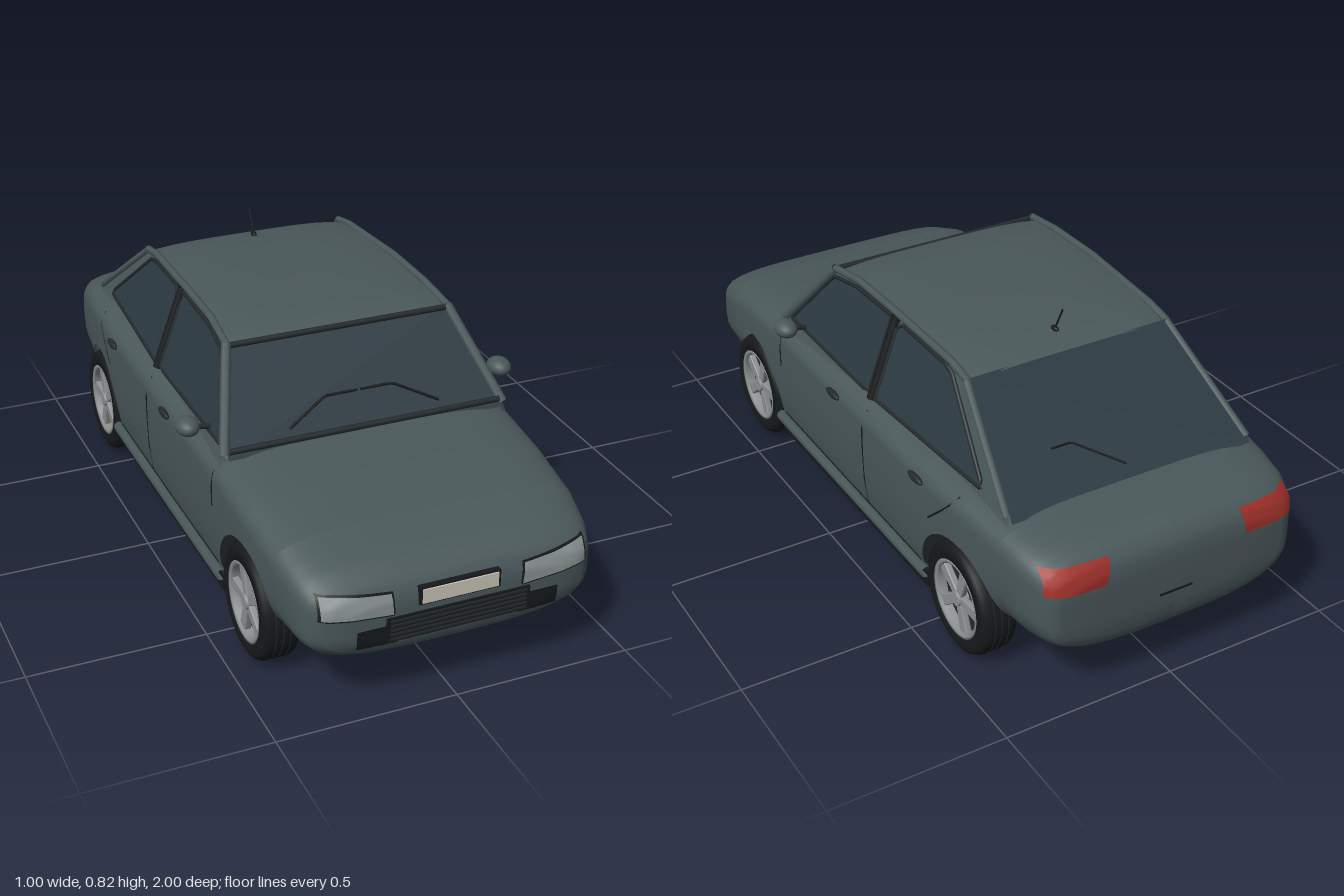
import * as THREE from 'three';

const mat = (color, roughness = 0.6) => new THREE.MeshStandardMaterial({ color, roughness, side: THREE.DoubleSide });
const V = (x, y, z) => new THREE.Vector3(x, y, z);

// Lower body stations: z, top height, bottom height, half width
const STATIONS = [
  [0.985, 0.325, 0.2, 0.3], [0.975, 0.355, 0.172, 0.36], [0.945, 0.385, 0.148, 0.395], [0.9, 0.41, 0.132, 0.413],
  [0.8, 0.442, 0.122, 0.428], [0.62, 0.471, -0.1, 0.439], [0.42, 0.492, -0.1, 0.443], [0, 0.503, -0.1, 0.446],
  [-0.45, 0.503, -0.1, 0.445], [-0.63, 0.5, -0.1, 0.437], [-0.81, 0.488, 0.122, 0.42], [-0.9, 0.474, 0.13, 0.408],
  [-0.96, 0.453, 0.145, 0.388], [-0.985, 0.43, 0.165, 0.367], [-0.997, 0.4, 0.2, 0.335],
];
const UP = 5, LOW = 3, ARCH = 0.18, WHEELS = [0.62, -0.63], HUB_Y = 0.16;

function station(z) {
  let i = 0;
  while (i < STATIONS.length - 2 && z < STATIONS[i + 1][0]) i++;
  const a = STATIONS[i], b = STATIONS[i + 1];
  const t = THREE.MathUtils.clamp((a[0] - z) / (a[0] - b[0]), 0, 1);
  const [top, bottom, w] = [1, 2, 3].map(k => a[k] + (b[k] - a[k]) * t);
  return { top, bottom, w, mid: top - Math.min(0.125, (top - bottom) / 2) };
}

// Side surface x at (z, y), and end surface z at (x, y)
function sideX(z, y) {
  const s = station(z), up = y > s.mid, n = up ? UP : LOW;
  const f = Math.abs(y - s.mid) / (up ? s.top - s.mid : s.mid - s.bottom);
  return f >= 1 ? 0 : s.w * Math.pow(1 - Math.pow(f, n), 1 / n);
}
function endZ(x, y, sign) {
  let z = sign > 0 ? 0.985 : -0.997;
  while (Math.abs(z) > 0.7 && sideX(z, y) < Math.abs(x)) z -= sign * 0.001;
  return z;
}

// Grid of points -> smooth surface
function gridGeometry(rows) {
  const n = rows[0].length, index = [];
  for (let i = 0; i < rows.length - 1; i++) for (let j = 0; j < n - 1; j++) {
    const a = i * n + j, b = a + n;
    index.push(a, b, a + 1, b, b + 1, a + 1);
  }
  const g = new THREE.BufferGeometry().setFromPoints(rows.flat());
  g.setIndex(index);
  g.computeVertexNormals();
  return g;
}

// Body section, open below along the arches and sills, closed at the bumpers
function section(z, overhang, scale = 1, zOut = z) {
  const s = station(z), half = [];
  let lip = s.bottom;
  if (!overhang) {
    lip = 0.14;
    for (const c of WHEELS) lip = Math.max(lip, Math.abs(z - c) < ARCH ? HUB_Y + Math.sqrt(ARCH ** 2 - (z - c) ** 2) : 0);
  }
  const start = Math.asin(Math.pow(THREE.MathUtils.clamp((s.mid - lip) / (s.mid - s.bottom), 0, 1), LOW / 2));
  const put = (a, n, h) => half.push(V(
    s.w * scale * Math.pow(Math.max(Math.cos(a), 0), 2 / n),
    s.mid + scale * h * Math.pow(Math.sin(a), 2 / n), zOut));
  for (let k = 0; k < 12; k++) put(start * (1 - k / 12), LOW, s.bottom - s.mid);
  for (let k = 0; k <= 16; k++) put(Math.PI / 2 * k / 16, UP, s.top - s.mid);
  return [...half, ...half.slice(0, -1).reverse().map(p => V(-p.x, p.y, p.z))];
}
function bodyGeometry() {
  const rows = [section(0.985, true, 0.01, 0.988), section(0.985, true, 0.6, 0.988)];
  for (const z of [0.985, 0.975, 0.96, 0.945, 0.92, 0.9, 0.85, 0.8]) rows.push(section(z, true));
  const arch = c => { for (let k = 0; k <= 20; k++) rows.push(section(c + ARCH * Math.cos(Math.PI * k / 20), false)); };
  arch(WHEELS[0]);
  for (const z of [0.42, 0.2, 0, -0.2, -0.4]) rows.push(section(z, false));
  arch(WHEELS[1]);
  for (const z of [-0.81, -0.85, -0.9, -0.93, -0.96, -0.985, -0.997]) rows.push(section(z, true));
  rows.push(section(-0.997, true, 0.6, -1), section(-0.997, true, 0.01, -1));
  return gridGeometry(rows);
}

// Patch laid on the nose or tail; corners are [x, y]: inner low, outer low, outer high, inner high
function patchGeometry(c, sign, lift) {
  const rows = [], mix = THREE.MathUtils.lerp;
  for (let i = 0; i <= 10; i++) {
    const row = [];
    for (let j = 0; j <= 6; j++) {
      const p = [0, 1].map(k => mix(mix(c[0][k], c[1][k], i / 10), mix(c[3][k], c[2][k], i / 10), j / 6));
      row.push(V(p[0], p[1], endZ(p[0], p[1], sign) + sign * lift));
    }
    rows.push(row);
  }
  return gridGeometry(rows);
}

const cabinX = (z, y) => 0.408 - (y - 0.5) * 0.36 - Math.max(0, -z - 0.2) * 0.07;

export function createModel() {
  const car = new THREE.Group();
  const paint = mat(0x4a585a, 0.5), glass = mat(0x2c3a42, 0.4), black = mat(0x17191a), trim = mat(0x24292b);
  const metal = mat(0x8c9192), lamp = mat(0x8a9492), red = mat(0xa0302a), plate = mat(0xc9c5b8);
  const add = (name, geo, m, parent = car) => {
    const mesh = new THREE.Mesh(geo, m);
    mesh.name = name;
    parent.add(mesh);
    return mesh;
  };
  const box = (name, w, h, d, x, y, z, m) => add(name, new THREE.BoxGeometry(w, h, d), m).position.set(x, y, z);
  const tube = (name, pts, r, m) => {
    const path = new THREE.CurvePath();
    for (let i = 0; i < pts.length - 1; i++) path.add(new THREE.LineCurve3(pts[i], pts[i + 1]));
    return add(name, new THREE.TubeGeometry(path, (pts.length - 1) * 8, r, 8), m);
  };
  const ball = (name, sx, sy, sz, x, y, z, m) => {
    const b = add(name, new THREE.SphereGeometry(1, 20, 14), m);
    b.scale.set(sx, sy, sz);
    b.position.set(x, y, z);
  };

  add('body', bodyGeometry(), paint);

  // Roof
  const roofRows = [[0.24, 0.718], [0.2, 0.735], [0.1, 0.747], [-0.1, 0.753], [-0.3, 0.749], [-0.42, 0.738], [-0.485, 0.718]].map(([z, y]) => {
    const row = [], w = cabinX(z, y) + 0.006;
    for (let k = 0; k <= 16; k++) {
      const u = 1 - k / 8;
      row.push(V(u * w, y - 0.014 * Math.pow(u, 4), z));
    }
    return row;
  });
  add('roof', gridGeometry(roofRows), paint);

  // Windscreen and rear window
  const screen = (name, bx, bz, tx, tz, ty) => add(name, gridGeometry([
    [V(bx, 0.48, bz), V(tx, ty, tz)], [V(-bx, 0.48, bz), V(-tx, ty, tz)]]), glass);
  screen('windscreen', 0.405, 0.44, 0.325, 0.232, 0.718);
  screen('rearWindow', 0.368, -0.8, 0.305, -0.48, 0.718);
  tube('windscreenTopFrame', [V(-0.32, 0.714, 0.24), V(0.32, 0.714, 0.24)], 0.009, trim);
  tube('windscreenBottomFrame', [V(-0.4, 0.5, 0.428), V(0.4, 0.5, 0.428)], 0.009, trim);

  // Cabin sides, [z, y] outlines bent to the cabin slope
  const outline = [[0.43, 0.5], [0.235, 0.718], [0.1, 0.738], [-0.1, 0.742], [-0.4, 0.73], [-0.48, 0.715], [-0.79, 0.49], [-0.79, 0.44], [0.43, 0.44]];
  const windows = [
    [[0.385, 0.508], [0.225, 0.7], [0.1, 0.722], [-0.105, 0.728], [-0.105, 0.508]],
    [[-0.145, 0.508], [-0.145, 0.728], [-0.41, 0.715], [-0.67, 0.508]]];
  for (const side of [1, -1]) {
    const panel = (name, pts, lift, m) => {
      const g = new THREE.ShapeGeometry(new THREE.Shape(pts.map(p => new THREE.Vector2(...p))));
      const p = g.attributes.position;
      for (let i = 0; i < p.count; i++) {
        const z = p.getX(i), y = p.getY(i);
        p.setXYZ(i, side * (cabinX(z, y) + lift), y, z);
      }
      g.computeVertexNormals();
      add(name, g, m);
    };
    const at = (z, y, lift = 0) => V(side * (cabinX(z, y) + lift), y, z);
    panel('cabinSide', outline, 0, paint);
    for (const w of windows) {
      panel('sideWindow', w, 0.004, glass);
      tube('windowFrame', [...w, w[0]].map(p => at(...p, 0.003)), 0.006, trim);
    }
    tube('frontPillar', [at(0.43, 0.49), at(0.235, 0.718)], 0.014, paint);
    tube('rearPillar', [at(-0.48, 0.712), at(-0.78, 0.49)], 0.011, paint);
    tube('roofRail', outline.slice(1, 6).map(p => at(...p)), 0.011, paint);
    tube('middlePillar', [at(-0.125, 0.5, 0.002), at(-0.125, 0.735, 0.002)], 0.014, black);

    // Door seams, handles and sills
    const seam = pts => tube('doorSeam', pts.map(([z, y]) => V(side * sideX(z, y), y, z)), 0.0025, black);
    seam([[0.41, 0.34], [0.41, 0.4], [0.41, 0.44], [0.41, 0.47]]);
    seam([[-0.13, 0.15], [-0.13, 0.25], [-0.13, 0.36], [-0.13, 0.42], [-0.13, 0.47]]);
    seam([[-0.5, 0.345], [-0.56, 0.4], [-0.6, 0.44], [-0.62, 0.47]]);
    seam([[0.42, 0.165], [0, 0.165], [-0.44, 0.165]]);
    for (const z of [0.04, -0.445]) ball('doorHandle', 0.01, 0.011, 0.037, side * (sideX(z, 0.44) + 0.007), 0.44, z, trim);
    tube('sill', [V(side * 0.435, 0.142, 0.45), V(side * 0.435, 0.142, -0.47)], 0.017, paint);
    box('lowerSill', 0.02, 0.05, 0.92, side * 0.42, 0.115, -0.01, black);

    // Mirror
    ball('mirror', 0.033, 0.026, 0.042, side * 0.468, 0.53, 0.3, paint);
    tube('mirrorStalk', [V(side * 0.395, 0.515, 0.3), V(side * 0.46, 0.526, 0.3)], 0.008, trim);

    // Lamps and lower intakes
    const patch = (name, c, sign, lift, m) => add(name, patchGeometry(c.map(([x, y]) => [x * side, y]), sign, lift), m);
    patch('headlight', [[0.18, 0.285], [0.368, 0.302], [0.368, 0.36], [0.185, 0.343]], 1, 0.005, lamp);
    patch('headlightFrame', [[0.175, 0.28], [0.374, 0.298], [0.374, 0.365], [0.18, 0.348]], 1, 0.003, black);
    patch('lowerIntake', [[0.17, 0.203], [0.28, 0.203], [0.28, 0.258], [0.17, 0.258]], 1, 0.007, black);
    patch('tailLight', [[0.215, 0.365], [0.383, 0.375], [0.375, 0.438], [0.2, 0.438]], -1, 0.004, red);
  }

  // Grille, number plate and tail slot
  box('grille', 0.4, 0.07, 0.02, 0, 0.242, 0.983, black);
  for (let k = 0; k < 5; k++) box('grilleSlat', 0.38, 0.006, 0.012, 0, 0.216 + k * 0.013, 0.991, trim);
  box('plateFrame', 0.225, 0.05, 0.03, 0, 0.322, 0.979, black);
  box('numberPlate', 0.21, 0.04, 0.03, 0, 0.322, 0.983, plate);
  box('tailSlot', 0.1, 0.006, 0.006, 0, 0.27, -0.999, black);

  // Wipers and aerial
  const onScreen = (x, y) => V(x, y, 0.437 - (y - 0.495) * 0.87 + 0.006);
  for (const s of [1, -1]) tube('frontWiper', [onScreen(s * 0.22, 0.527), onScreen(s * 0.1, 0.58), onScreen(s * 0.005, 0.58)], 0.004, black);
  const onRear = (x, z) => V(x, 0.718 - (-0.48 - z) * 0.744 + 0.006, z);
  tube('rearWiper', [onRear(0, -0.76), onRear(0.12, -0.68), onRear(0.18, -0.68)], 0.003, black);
  tube('aerial', [V(0, 0.738, -0.405), V(0, 0.815, -0.442)], 0.0025, black);
  ball('aerialBase', 0.008, 0.008, 0.015, 0, 0.742, -0.407, black);

  // Underside
  box('floor', 0.84, 0.02, 0.92, 0, 0.1, -0.01, black);
  for (const z of WHEELS) tube('axle', [V(-0.36, HUB_Y, z), V(0.36, HUB_Y, z)], 0.02, trim);
  box('silencer', 0.2, 0.05, 0.1, 0.1, 0.17, -0.56, trim);
  tube('exhaustPipe', [V(0.1, 0.13, -0.4), V(0.1, 0.165, -0.56)], 0.012, trim);

  // Wheels: tyre, rim and five spokes around the local y axis, outer face at +y
  const lathe = pts => new THREE.LatheGeometry(pts.map(p => new THREE.Vector2(...p)), 40);
  const tyreGeo = lathe([[0.1, -0.05], [0.14, -0.052], [0.153, -0.045], [0.16, -0.03], [0.16, 0.03], [0.153, 0.045], [0.14, 0.052], [0.112, 0.05], [0.106, 0.035]]);
  const treadGeo = new THREE.TorusGeometry(0.159, 0.002, 6, 40).rotateX(Math.PI / 2);
  const rimGeo = lathe([[0.098, 0.02], [0.098, 0.045], [0.104, 0.05], [0.112, 0.05], [0.113, 0.03]]);
  const spokeGeo = new THREE.ExtrudeGeometry(new THREE.Shape(
    [[-0.011, 0.015], [0.011, 0.015], [0.016, 0.1], [-0.016, 0.1]].map(p => new THREE.Vector2(...p))),
  { depth: 0.012, bevelEnabled: true, bevelSize: 0.002, bevelThickness: 0.003, bevelSegments: 1 }).rotateX(-Math.PI / 2);
  for (const z of WHEELS) for (const side of [1, -1]) {
    const wheel = new THREE.Group();
    wheel.name = 'wheel';
    add('tyre', tyreGeo, black, wheel);
    for (const y of [-0.02, 0, 0.02]) add('treadRib', treadGeo, trim, wheel).position.y = y;
    add('rim', rimGeo, metal, wheel);
    add('brakeDisc', new THREE.CylinderGeometry(0.104, 0.104, 0.04, 32), trim, wheel);
    for (let k = 0; k < 5; k++) {
      const spoke = add('spoke', spokeGeo, metal, wheel);
      spoke.position.y = 0.028;
      spoke.rotation.y = k * Math.PI * 2 / 5;
    }
    add('hub', new THREE.CylinderGeometry(0.02, 0.026, 0.03, 20), metal, wheel).position.y = 0.035;
    wheel.position.set(side * 0.387, HUB_Y, z);
    wheel.rotation.z = -side * Math.PI / 2;
    car.add(wheel);
  }
  return car;
}
